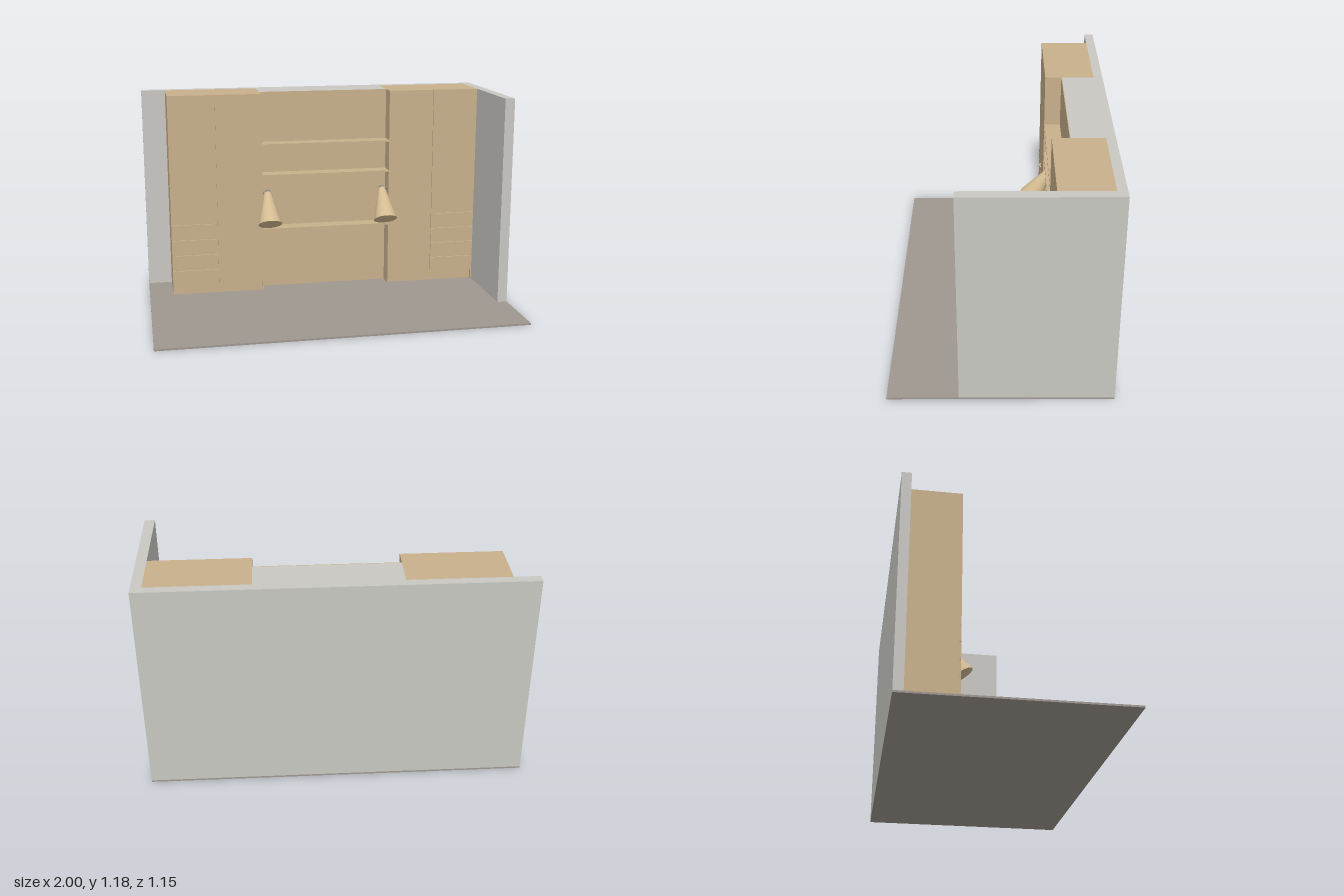
import * as THREE from 'three';

const material = (name, color) => new THREE.MeshStandardMaterial({ name, color });

export function createModel() {
  const wood = material('wood', 0xc8b08c);
  const wall = material('wall paint', 0xc8c7c2);
  const floorGrey = material('floor grey', 0x9f9790);
  const shade = material('lamp shade', 0xd4bc92);
  const metal = material('metal', 0x8c8884);

  const model = new THREE.Group();
  model.name = 'wardrobeNiche';

  // Box given by its limits on each axis
  function box(name, mat, [x0, x1], [y0, y1], [z0, z1], parent = model) {
    const mesh = new THREE.Mesh(new THREE.BoxGeometry(x1 - x0, y1 - y0, z1 - z0), mat);
    mesh.position.set((x0 + x1) / 2, (y0 + y1) / 2, (z0 + z1) / 2);
    mesh.name = name;
    parent.add(mesh);
    return mesh;
  }

  const floorTop = 0.01, top = 1.175;
  const back = -0.525, front = -0.255, niche = -0.345;
  const nicheLeft = -0.335, nicheRight = 0.415;

  // Room shell
  box('floor', floorGrey, [-1, 1], [0, floorTop], [-0.575, 0.575]);
  box('backWall', wall, [-1, 1], [floorTop, top], [-0.575, back]);
  box('sideWall', wall, [0.945, 1], [floorTop, top], [back, 0.21]);
  box('nicheWall', wall, [nicheLeft, nicheRight], [floorTop, top], [back, niche - 0.004]);

  // Niche panel and shelves
  box('nichePanel', wood, [nicheLeft, nicheRight], [floorTop, top], [niche - 0.004, niche]);
  for (const y of [0.38, 0.7, 0.88]) {
    box('shelf', wood, [nicheLeft, nicheRight], [y - 0.005, y + 0.005], [niche, front]);
  }

  // Small round handle on a door or drawer
  function knob(x, y, parent) {
    const mesh = new THREE.Mesh(new THREE.CylinderGeometry(0.008, 0.006, 0.008, 16), wood);
    mesh.rotation.x = Math.PI / 2;
    mesh.position.set(x, y, front + 0.004);
    mesh.name = 'knob';
    parent.add(mesh);
  }

  // Wardrobe: drawerSide is -1 when the drawers stand on the -x half
  function wardrobe(name, x0, x1, drawerSide) {
    const group = new THREE.Group();
    group.name = name;
    model.add(group);
    const mid = (x0 + x1) / 2, side = 0.006, gap = 0.0012, base = 0.065;
    const faceBack = front - 0.008;
    box('carcass', wood, [x0 + side, x1 - side], [base, top], [back, faceBack], group);
    box('plinth', wood, [x0 + side, x1 - side], [floorTop, base], [back, front - 0.02], group);
    box('sidePanel', wood, [x0, x0 + side], [floorTop, top], [back, faceBack], group);
    box('sidePanel', wood, [x1 - side, x1], [floorTop, top], [back, faceBack], group);
    for (const x of [x0, x1 - side]) {
      box('foot', wood, [x, x + side], [floorTop, base], [faceBack, front], group);
    }

    const face = (part, a, b, y0, y1) =>
      box(part, wood, [a + gap, b - gap], [y0 + gap, y1 - gap], [faceBack, front], group);
    const drawers = drawerSide < 0 ? [x0 - gap, mid] : [mid, x1 + gap];
    const tall = drawerSide < 0 ? [mid, x1 + gap] : [x0 - gap, mid];
    const drawerTop = 0.43, step = (drawerTop - base) / 4;
    face('tallDoor', ...tall, base, top + gap);
    face('shortDoor', ...drawers, drawerTop, top + gap);
    for (let i = 0; i < 4; i++) {
      const y = base + i * step;
      face('drawer', ...drawers, y, y + step);
      knob((drawers[0] + drawers[1]) / 2, y + 0.065, group);
    }
    for (const s of [-1, 1]) knob(mid + s * 0.018, 0.475, group);
  }
  wardrobe('rightWardrobe', -0.865, nicheLeft, -1);
  wardrobe('leftWardrobe', nicheRight, 0.945, 1);

  // Reading lamp: tilted cone on a ball joint, fixed to the wardrobe side
  function lamp(name, x, mountX) {
    const group = new THREE.Group();
    group.name = name;
    group.position.set(x, 0.595, -0.285);
    const length = 0.195;
    const cone = new THREE.Mesh(new THREE.CylinderGeometry(0.02, 0.068, length, 32), shade);
    cone.geometry.translate(0, -length / 2, 0);
    cone.rotation.x = -0.56;
    cone.name = 'lampShade';
    const ball = new THREE.Mesh(new THREE.SphereGeometry(0.018, 20, 12), metal);
    ball.name = 'ballJoint';
    const reach = mountX - x;
    const arm = new THREE.Mesh(new THREE.CylinderGeometry(0.008, 0.008, Math.abs(reach), 12), metal);
    arm.rotation.z = Math.PI / 2;
    arm.position.x = reach / 2;
    arm.name = 'lampArm';
    group.add(cone, ball, arm);
    model.add(group);
  }
  lamp('rightLamp', -0.303, nicheLeft);
  lamp('leftLamp', 0.38, nicheRight);

  return model;
}
